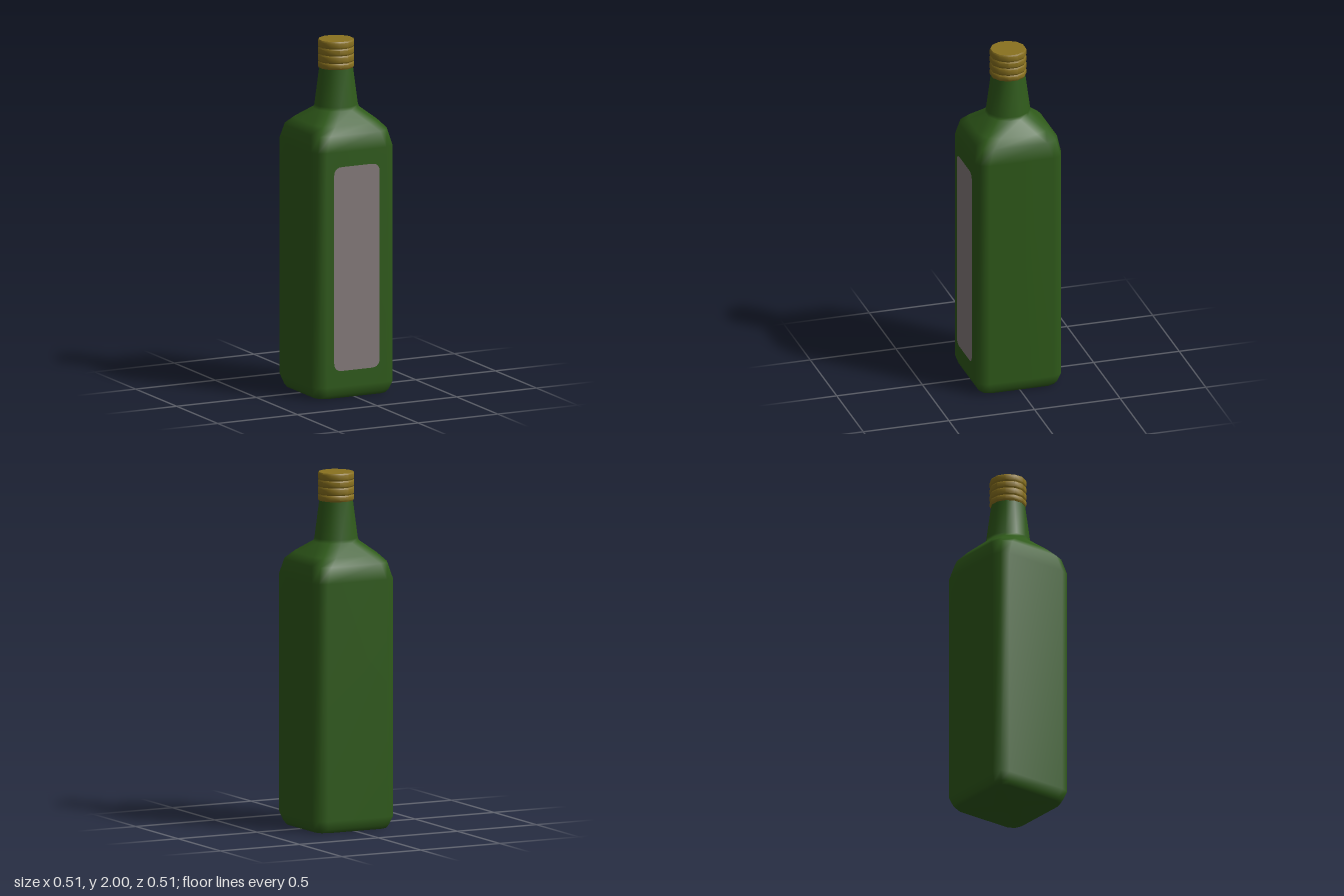
import * as THREE from 'three';
import { toCreasedNormals } from 'three/addons/utils/BufferGeometryUtils.js';

// Twelve-point ring: a square with half width h, flat half length a and corner point c
function ring(y, h, a, c) {
  const pts = [];
  for (let k = 0; k < 4; k++) {
    const t = k * Math.PI / 2, cos = Math.cos(t), sin = Math.sin(t);
    for (const [x, z] of [[h, a], [c, c], [a, h]]) {
      pts.push(new THREE.Vector3(x * cos - z * sin, y, x * sin + z * cos));
    }
  }
  return pts;
}

// Round ring with half width h
const roundRing = (y, h) => ring(y, h, h * Math.tan(Math.PI / 12), h * 0.732);

// Skin through the rings with a closed base
function loft(rings) {
  const n = rings[0].length, pos = [], index = [];
  rings.flat().forEach(p => pos.push(p.x, p.y, p.z));
  for (let i = 0; i < rings.length - 1; i++) {
    for (let j = 0; j < n; j++) {
      const a = i * n + j, b = i * n + (j + 1) % n;
      index.push(a, a + n, b, b, a + n, b + n);
    }
  }
  const centre = pos.length / 3;
  pos.push(0, rings[0][0].y, 0);
  for (let j = 0; j < n; j++) index.push(centre, j, (j + 1) % n);
  const g = new THREE.BufferGeometry();
  g.setAttribute('position', new THREE.Float32BufferAttribute(pos, 3));
  g.setIndex(index);
  g.computeVertexNormals();
  return g;
}

function addMesh(group, name, geometry, color, side = THREE.FrontSide) {
  const mesh = new THREE.Mesh(geometry, new THREE.MeshStandardMaterial({ color, side }));
  mesh.name = name;
  group.add(mesh);
  return mesh;
}

export function createModel() {
  const group = new THREE.Group();
  group.name = 'bottle';

  // Square glass body blending into a round tapered neck
  addMesh(group, 'glassBody', loft([
    ring(0, 0.222, 0.165, 0.205),
    ring(0.02, 0.235, 0.175, 0.218),
    ring(0.07, 0.253, 0.186, 0.235),
    ring(1.41, 0.253, 0.186, 0.235),
    ring(1.5, 0.238, 0.155, 0.212),
    ring(1.545, 0.2, 0.105, 0.17),
    roundRing(1.61, 0.125),
    roundRing(1.63, 0.12),
    roundRing(1.85, 0.092),
  ]), 0x2f5a1a);

  // Screw cap made of four stacked bands
  const r = 0.1035;
  const profile = [new THREE.Vector2(0, 1.84), new THREE.Vector2(r - 0.005, 1.84)];
  const grooves = [1.84, 1.875, 1.918, 1.958, 2];
  for (let i = 0; i < 4; i++) {
    const lo = grooves[i], hi = grooves[i + 1];
    profile.push(new THREE.Vector2(r, lo + 0.008), new THREE.Vector2(r, hi - 0.008));
    profile.push(new THREE.Vector2(r - 0.005, hi));
  }
  profile.push(new THREE.Vector2(0, 2));
  const cap = new THREE.LatheGeometry(profile, 12, Math.PI / 12);
  addMesh(group, 'screwCap', toCreasedNormals(cap, 0.6), 0x8a721f);

  // Rounded paper label on the front
  const w = 0.143, y0 = 0.16, y1 = 1.325, c = 0.05;
  const s = new THREE.Shape();
  s.moveTo(-w + c, y0);
  s.lineTo(w - c, y0);
  s.quadraticCurveTo(w, y0, w, y0 + c);
  s.lineTo(w, y1 - c);
  s.quadraticCurveTo(w, y1, w - c, y1);
  s.lineTo(-w + c, y1);
  s.quadraticCurveTo(-w, y1, -w, y1 - c);
  s.lineTo(-w, y0 + c);
  s.quadraticCurveTo(-w, y0, -w + c, y0);
  const label = addMesh(group, 'frontLabel', new THREE.ShapeGeometry(s, 5), 0x857b7b, THREE.DoubleSide);
  label.position.z = 0.255;

  return group;
}
